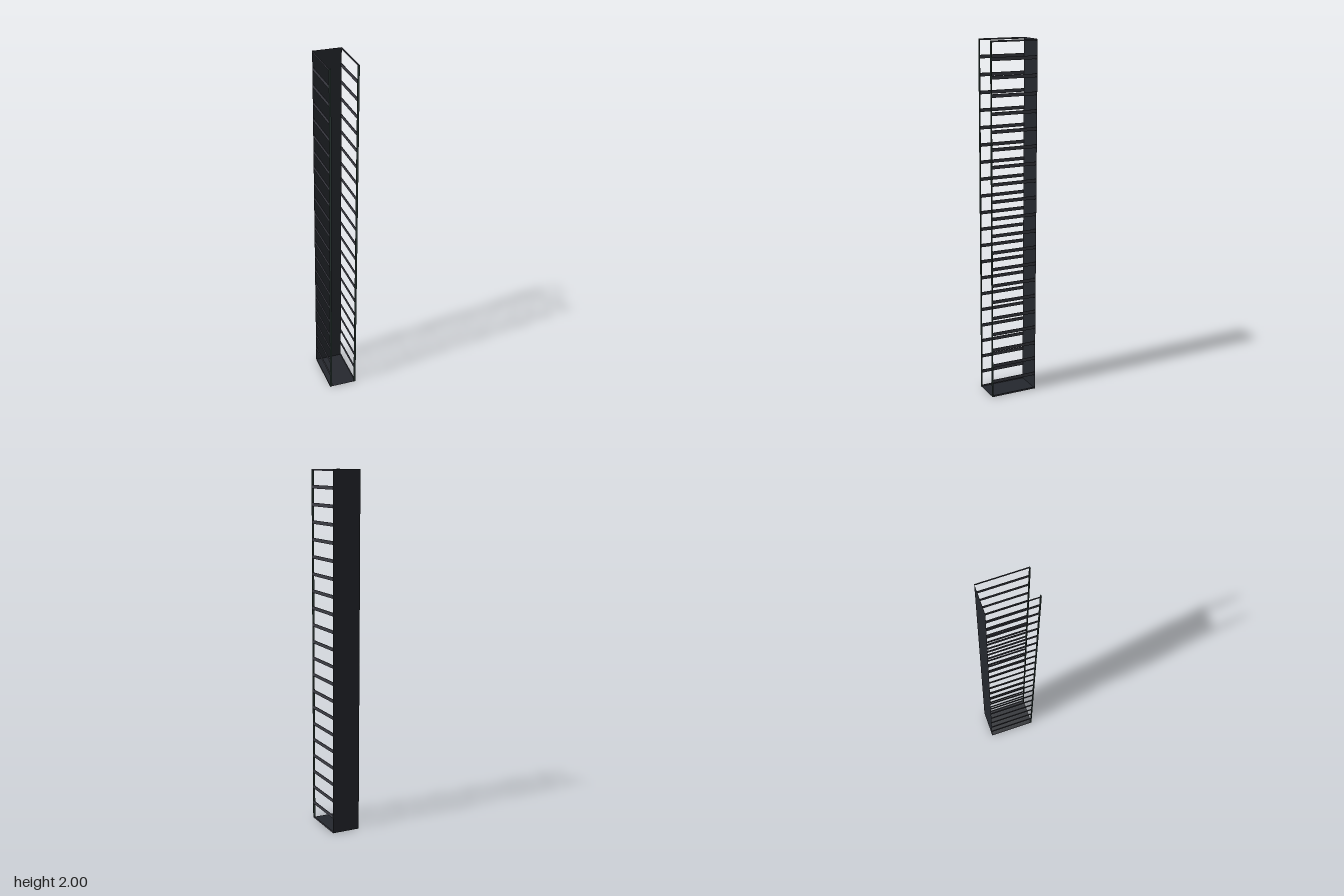
import * as THREE from 'three';

const HEIGHT = 2, WIDTH = 0.16, DEPTH = 0.27, BAYS = 21;

export function createModel() {
  const model = new THREE.Group();
  const paint = (color) => new THREE.MeshStandardMaterial({ color });
  const panelMat = paint(0x25282e);
  panelMat.side = THREE.DoubleSide;
  const railMat = paint(0x3c3d45);
  const postMat = paint(0x34443f);

  const add = (name, geometry, material, x, y, z) => {
    const mesh = new THREE.Mesh(geometry, material);
    mesh.name = name;
    mesh.position.set(x, y, z);
    model.add(mesh);
    return mesh;
  };

  // Thin sheet back and floor; the top and front stay open
  add('backPanel', new THREE.PlaneGeometry(WIDTH, HEIGHT), panelMat, 0, HEIGHT / 2, -DEPTH / 2);
  const floor = add('floorPanel', new THREE.PlaneGeometry(WIDTH, DEPTH), panelMat, 0, 0.001, 0);
  floor.rotation.x = -Math.PI / 2;

  const post = new THREE.BoxGeometry(0.011, HEIGHT, 0.005);
  const rail = new THREE.BoxGeometry(0.003, 0.019, DEPTH - 0.005);
  const edgeRail = new THREE.BoxGeometry(0.003, 0.009, DEPTH - 0.005);

  for (const side of [-1, 1]) {
    const label = side > 0 ? 'left' : 'right';
    // Slim upright at the front corner
    add(label + 'FrontPost', post, postMat, side * (WIDTH / 2 - 0.0055), HEIGHT / 2, DEPTH / 2 - 0.0025);

    // Evenly spaced side rails, half height at the top and bottom
    const x = side * (WIDTH / 2 - 0.0015);
    for (let i = 0; i <= BAYS; i++) {
      const end = i === 0 || i === BAYS;
      const y = i === 0 ? 0.0045 : i === BAYS ? HEIGHT - 0.0045 : (i * HEIGHT) / BAYS;
      add(label + 'SideRail' + i, end ? edgeRail : rail, railMat, x, y, -0.0025);
    }
  }
  return model;
}
